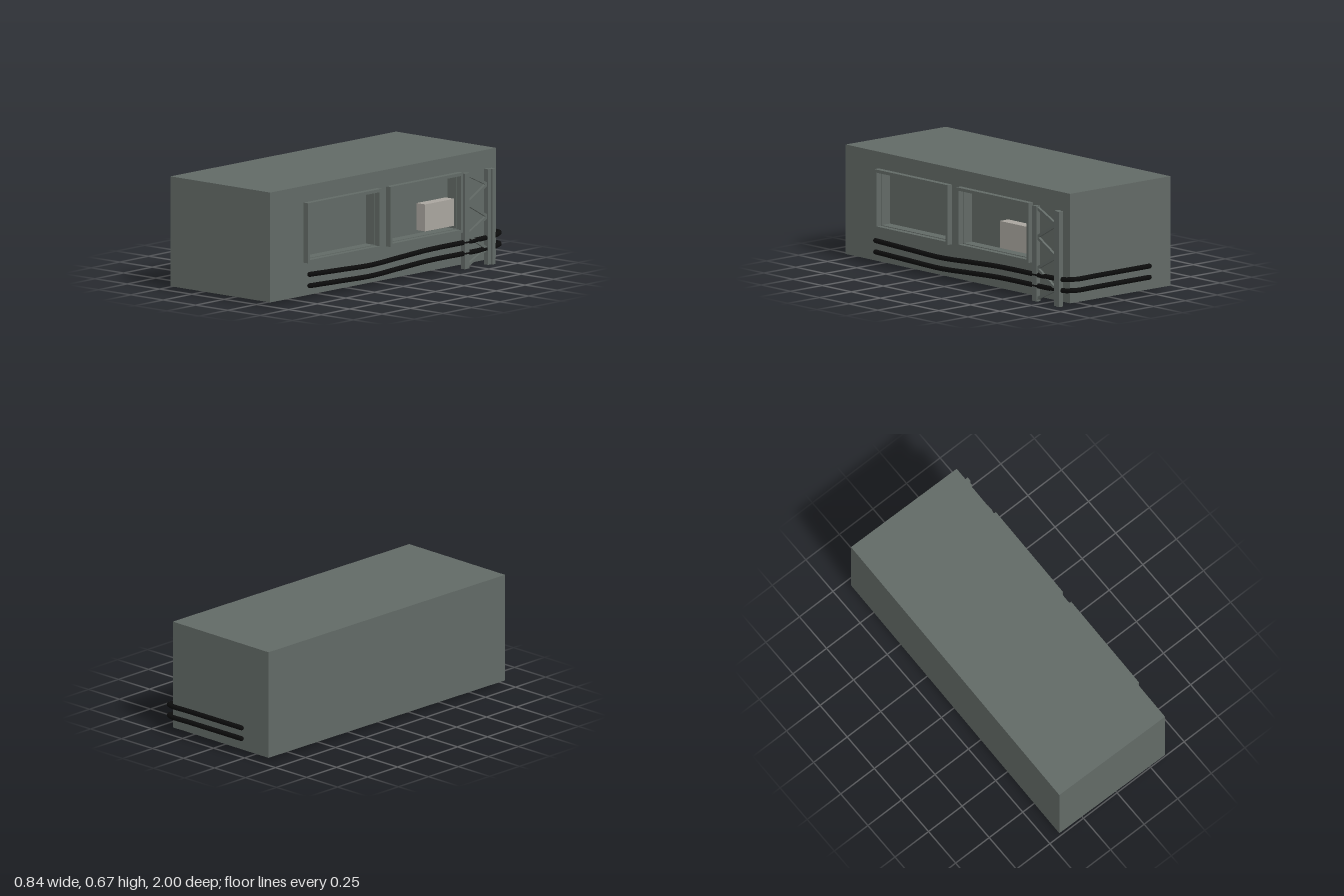
import * as THREE from 'three';

const mat = (name, color) => Object.assign(new THREE.MeshStandardMaterial({ color }), { name });

export function createModel() {
  const grey = mat('wallGrey', 0x626a66);
  const pale = mat('paleGrey', 0xaaa69f);
  const black = mat('hoseBlack', 0x0c0c0c);
  const model = new THREE.Group();
  model.name = 'utilityBuilding';

  const add = (parent, name, geo, material) => {
    const mesh = new THREE.Mesh(geo, material);
    mesh.name = name;
    parent.add(mesh);
    return mesh;
  };
  // box from min and max corners
  const box = (parent, name, [x0, y0, z0], [x1, y1, z1], material) => {
    const mesh = add(parent, name, new THREE.BoxGeometry(x1 - x0, y1 - y0, z1 - z0), material);
    mesh.position.set((x0 + x1) / 2, (y0 + y1) / 2, (z0 + z1) / 2);
    return mesh;
  };
  // rectangle with rectangular holes in the z-y plane, extruded along +x
  const rect = (Type, [z0, y0, z1, y1]) => new Type([[-z1, y0], [-z0, y0], [-z0, y1], [-z1, y1]]
    .map(([x, y]) => new THREE.Vector2(x, y)));
  const sidePlate = (outer, holes, depth) => {
    const shape = rect(THREE.Shape, outer);
    holes.forEach(h => shape.holes.push(rect(THREE.Path, h)));
    return new THREE.ExtrudeGeometry(shape, { depth, bevelEnabled: false }).rotateY(Math.PI / 2);
  };

  // hull, turned very slightly about the upright axis
  const hull = new THREE.Group();
  hull.name = 'hull';
  hull.position.set(-0.022, 0, 0.022);
  hull.rotation.y = -0.01125;
  model.add(hull);
  const wallX = 0.39, panelX = 0.323, bottom = 0.025, top = 0.672, half = 0.974;
  box(hull, 'mainBody', [-wallX, bottom, -half], [panelX, top, half], grey);

  // side wall with two window recesses and their frames
  const windows = [[0.052, 0.22, 0.686, 0.574], [-0.652, 0.22, -0.026, 0.574]];
  const inset = ([a, b, c, d], t) => [a + t, b + t, c - t, d - t];
  const wall = add(hull, 'sideWall',
    sidePlate([-half, bottom, half, top], windows.map(w => inset(w, 0.022)), wallX - panelX), grey);
  wall.position.x = panelX;
  windows.forEach(w => {
    const frame = add(hull, 'windowFrame', sidePlate(w, [inset(w, 0.018)], 0.037), grey);
    frame.position.x = wallX - 0.002;
  });
  box(hull, 'windowUnit', [panelX - 0.01, 0.262, -0.612], [0.39, 0.421, -0.364], pale);

  // lattice ladder standing against the wall
  const ladder = new THREE.Group();
  ladder.name = 'ladder';
  model.add(ladder);
  box(ladder, 'frontUpright', [0.374, 0, -0.688], [0.403, 0.563, -0.648], grey);
  box(ladder, 'rearUprightInner', [0.378, 0, -0.870], [0.41, 0.563, -0.844], grey);
  box(ladder, 'rearUprightOuter', [0.388, 0, -0.897], [0.42, 0.563, -0.870], grey);
  const nodes = [0.553, 0.475, 0.38, 0.285, 0.195, 0.095, 0.015]
    .map((y, i) => new THREE.Vector3(i % 2 ? 0.395 : 0.39, y, i % 2 ? -0.85 : -0.68));
  for (let i = 0; i < nodes.length - 1; i++) {
    const [a, b] = [nodes[i], nodes[i + 1]];
    const brace = add(ladder, 'brace', new THREE.BoxGeometry(0.016, 0.016, a.distanceTo(b)), grey);
    brace.position.copy(a).add(b).multiplyScalar(0.5);
    brace.lookAt(b);
  }

  // two sagging hoses that wrap around the rear corner
  const r = 0.0145;
  const hose = (name, [start, sag, mid, late, end]) => {
    const points = [
      [0.397, start, 0.70], [0.393, (start + sag) / 2 - 0.001, 0.42], [0.389, sag, 0.15],
      [0.388, (sag + mid) / 2, -0.1], [0.389, mid, -0.35], [0.391, late, -0.8],
      [0.393, (late + end) / 2, -0.93], [0.386, end, -0.97], [0.36, end, -0.985],
      [0.2, end, -0.985], [-0.21, end, -0.985],
    ].map(p => new THREE.Vector3(...p));
    const curve = new THREE.CatmullRomCurve3(points, false, 'centripetal');
    add(model, name, new THREE.TubeGeometry(curve, 120, r, 10), black);
    [points[0], points.at(-1)].forEach(p =>
      add(model, name + 'End', new THREE.SphereGeometry(r, 10, 8), black).position.copy(p));
  };
  hose('upperHose', [0.154, 0.134, 0.155, 0.157, 0.171]);
  hose('lowerHose', [0.087, 0.07, 0.091, 0.092, 0.105]);

  return model;
}
